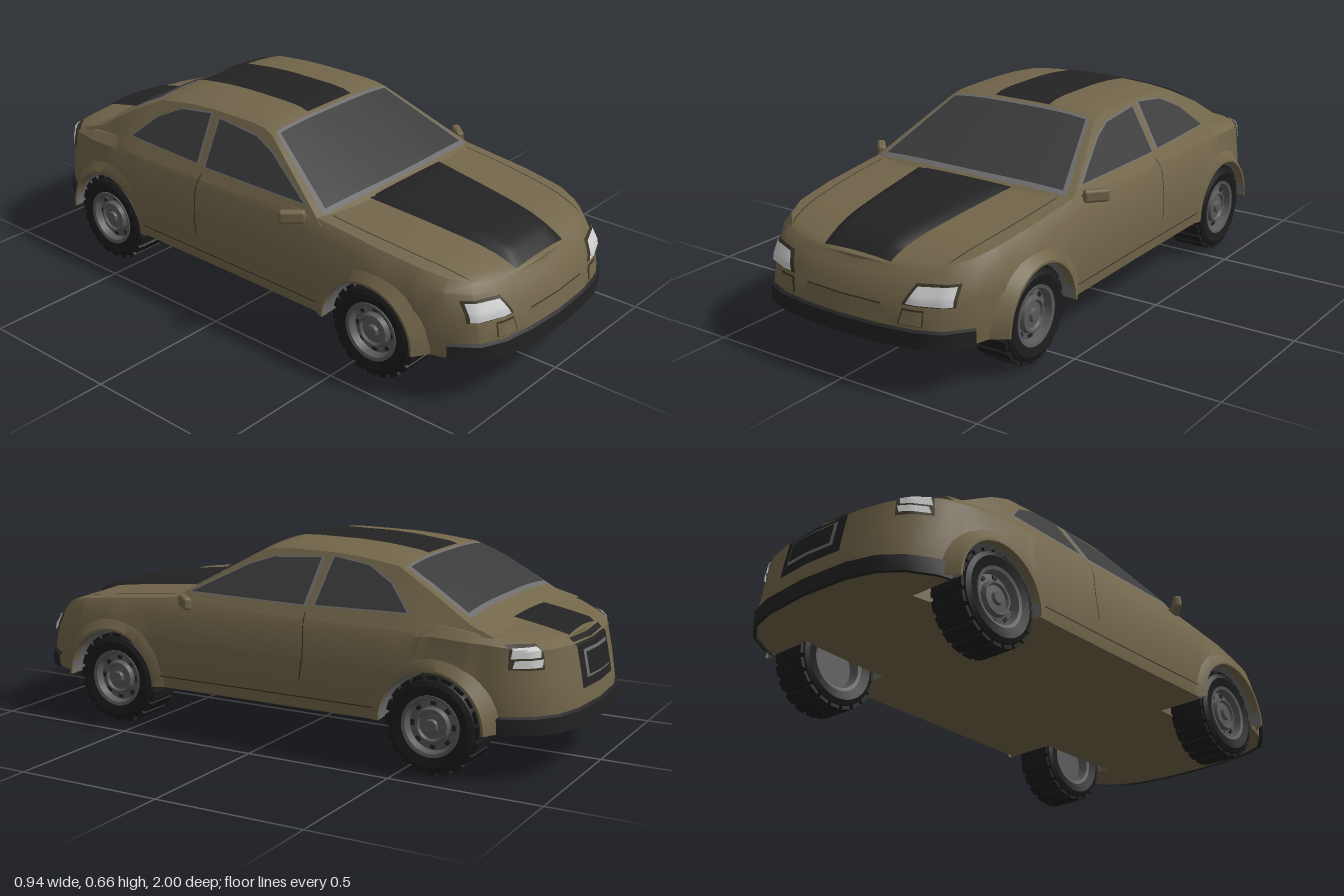
import * as THREE from 'three';
import { toCreasedNormals } from 'three/addons/utils/BufferGeometryUtils.js';
import { RoundedBoxGeometry } from 'three/addons/geometries/RoundedBoxGeometry.js';

const mat = (color) => new THREE.MeshStandardMaterial({ color, side: THREE.DoubleSide });
const PAINT = mat(0x72664a), BLACK = mat(0x232323), GLASS = mat(0x3b3b3b), TRIM = mat(0x6c6c6c),
  LAMP = mat(0xcccccc), RUBBER = mat(0x1c1c1c), RIM = mat(0x5a5a5a), SEAM = mat(0x3a3426);
const { lerp, clamp, smoothstep } = THREE.MathUtils;

// Piecewise linear lookup
function look(table, x) {
  let i = 1;
  while (i < table.length - 1 && x > table[i][0]) i++;
  const [a, b] = [table[i - 1], table[i]];
  return lerp(a[1], b[1], clamp((x - a[0]) / (b[0] - a[0]), 0, 1));
}
// Half width, centre height of hood and deck, and shoulder drop along the car
const WIDTH = [[-.99, 0], [-.978, .17], [-.95, .265], [-.9, .33], [-.82, .38], [-.7, .412], [-.45, .43], [0, .432],
  [.4, .438], [.6, .435], [.75, .42], [.85, .39], [.93, .33], [.965, .25], [.983, .14], [.99, 0]];
const TOP = [[-1, .42], [-.9, .435], [-.75, .455], [-.6, .475], [.3, .475], [.37, .467], [.6, .443], [.8, .418], [.9, .4], [1, .368]];
const DROP = [[-1, .025], [-.75, .032], [-.5, .05], [.8, .05], [1, .03]];
const ROOF = [[-.78, .44], [-.7, .485], [-.55, .575], [-.43, .634], [-.3, .65], [-.2, .656], [-.02, .657], [.03, .653], [.07, .642], [.38, .46]];
const WHEELS = [.59, -.6], AXLE = .16, ARCH = .175;

const archY = (s) => WHEELS.reduce((y, c) => Math.max(y, Math.abs(s - c) < ARCH ? AXLE + Math.sqrt(ARCH ** 2 - (s - c) ** 2) : 0), .155);
const lean = (s, row) => s - Math.sign(s) * (s > 0 ? [0, 0, .02, .05, .065] : [0, 0, .015, .035, .06])[row] * smoothstep(Math.abs(s), .7, 1);

// Side of the body at station s, from sill to hood edge
function sideRows(s) {
  const w = look(WIDTH, s), t = look(TOP, s), yb = archY(s);
  const ys = [yb, Math.max(.21, yb + .006), Math.max(.3, yb + .014), t - look(DROP, s), t - .01];
  return ys.map((y, i) => [w * [.985, 1, .995, .968, .9][i], y, lean(s, i)]);
}
function sideAt(s, y) {
  const r = sideRows(s);
  let i = 1;
  while (i < 4 && y > r[i][1]) i++;
  const k = clamp((y - r[i - 1][1]) / (r[i][1] - r[i - 1][1]), 0, 1);
  return r[i].map((v, j) => lerp(r[i - 1][j], v, k));
}
// Point on the nose (dir 1) or tail (dir -1)
function faceAt(x, y, dir, off) {
  let a = .6, b = .99;
  for (let i = 0; i < 30; i++) {
    const m = (a + b) / 2;
    if (sideAt(dir * m, y)[0] > Math.abs(x)) a = m; else b = m;
  }
  const p = sideAt(dir * a, y);
  return [x * (1 + off * 2), p[1], p[2] + dir * off];
}
// Point on the hood or deck
function topAt(x, s, off) {
  const e = .9 * look(WIDTH, s), f = clamp(x / Math.max(e, 1e-4), -1, 1);
  return [f * e, look(TOP, s) - .01 * f * f + off, lean(s, 4)];
}
// Cabin: leaning sides and crowned roof
const cabinX = (z, y) => (.385 - (y - .475) * .636) * (1 - .1 * smoothstep(-z, .5, .72));
const edgeY = (z) => Math.max(look(ROOF, z) - .018, .442);
function roofAt(f, z, off = 0) {
  const bow = z > 0 ? .03 * z / .37 : 0;
  return [f * cabinX(z, edgeY(z)), lerp(look(ROOF, z), edgeY(z), Math.abs(f) ** 3) + off, z + bow * (1 - f * f)];
}

function mesh(name, geo, material, parent) {
  const m = new THREE.Mesh(geo, material);
  m.name = name;
  parent.add(m);
  return m;
}
// Surface through a list of point rows
function skin(rows) {
  const n = rows[0].length, idx = [];
  for (let i = 0; i < rows.length - 1; i++) for (let j = 0; j < n - 1; j++) {
    const a = i * n + j, b = a + n;
    idx.push(a, a + 1, b, b, a + 1, b + 1);
  }
  const g = new THREE.BufferGeometry();
  g.setAttribute('position', new THREE.Float32BufferAttribute(rows.flat(2), 3));
  g.setIndex(idx);
  return toCreasedNormals(g, .55);
}
const patch = (nu, nv, fn) => skin(Array.from({ length: nu + 1 }, (_, i) =>
  Array.from({ length: nv + 1 }, (_, j) => fn(i / nu, j / nv))));
// Four-cornered panel on nose or tail; corners are [x, y] pairs in order
const facePanel = (c, dir, off) => patch(8, 6, (u, v) => {
  const [x, y] = [0, 1].map((k) => lerp(lerp(c[0][k], c[1][k], u), lerp(c[3][k], c[2][k], u), v));
  return faceAt(x, y, dir, off);
});

function buildBody(car) {
  // Stations crowd around the wheel arches and the rounded ends
  let st = WIDTH.map((p) => p[0]);
  for (let z = -.7; z < .75; z += .07) st.push(z);
  for (const c of WHEELS) {
    for (let i = 0; i <= 16; i++) st.push(c + ARCH * Math.cos(i * Math.PI / 16));
    st.push(c + ARCH + .001, c - ARCH - .001);
  }
  st = [...new Set(st)].sort((a, b) => a - b);
  const rings = st.map((s) => {
    const side = sideRows(s), z = lean(s, 0), xi = Math.min(.26, look(WIDTH, s) * .6);
    const half = [[0, .155, z], [xi, .155, z], [xi, side[0][1], z], ...side,
      ...[.7, .35, 0].map((f) => topAt(f * .9 * look(WIDTH, s), s, 0))];
    return [...half, ...half.slice(0, -1).reverse().map(([x, y, q]) => [-x, y, q])];
  });
  mesh('body', skin(rings), PAINT, car);

  // Wrap-around bumpers
  for (const dir of [1, -1]) {
    const ends = st.filter((s) => s * dir > .77).sort((a, b) => (a - b) * dir);
    const half = (m) => ends.map((s) => [[1, .15], [1.015, .152], [1.015, .203], [.985, .214]].map(([k, y]) =>
      [m * look(WIDTH, s) * k, y, s * (1 + (k - 1) * .68)]));
    mesh(dir > 0 ? 'frontBumper' : 'rearBumper', skin([...half(1), ...half(-1).reverse()]), BLACK, car);
  }
}

function buildCabin(car) {
  const zs = [...ROOF.map((p) => p[0]), -.62, -.49, -.36, -.1, .15, .23, .3].sort((a, b) => a - b);
  mesh('cabin', skin(zs.map((z) => {
    const f = [-1, -.85, -.65, -.35, 0, .35, .65, .85, 1], b = cabinX(z, .44);
    return [[-b, .44, z], ...f.map((k) => roofAt(k, z)), [b, .44, z]];
  })), PAINT, car);

  // Windscreen and rear window, each in a thin frame
  for (const [name, z0, z1] of [['windscreen', .345, .085], ['rearWindow', -.46, -.672]]) {
    const pane = (grow, off) => patch(8, 12, (u, v) =>
      roofAt(lerp(-1, 1, v) * (.9 + grow * 3), lerp(z0 + grow, z1 - grow, u), off));
    mesh(name + 'Frame', pane(.013, .004), TRIM, car);
    mesh(name, pane(0, .008), GLASS, car);
  }
  // Side windows as [z, y] outlines laid on the cabin side
  const outlines = {
    doorWindow: [[.29, .485], [.1, .583], [.02, .61], [-.155, .622], [-.14, .482]],
    quarterWindow: [[-.18, .485], [-.2, .628], [-.33, .612], [-.42, .568], [-.5, .492]],
  };
  for (const [name, pts] of Object.entries(outlines)) for (const side of [1, -1]) {
    const c = pts.reduce((a, p) => [a[0] + p[0] / 5, a[1] + p[1] / 5], [0, 0]);
    for (const [label, grow, off, m] of [['Frame', 1.06, .004, TRIM], ['', 1, .008, GLASS]]) {
      const g = new THREE.ShapeGeometry(new THREE.Shape(pts.map((p) =>
        new THREE.Vector2(lerp(c[0], p[0], grow), lerp(c[1], p[1], grow)))));
      const p = g.attributes.position;
      for (let i = 0; i < p.count; i++) {
        const z = p.getX(i), y = p.getY(i);
        p.setXYZ(i, side * (cabinX(z, y) + off), y, z);
      }
      g.computeVertexNormals();
      mesh(name + label, g, m, car);
    }
  }
}

function buildDetails(car) {
  // Raised hood panel with bevelled rim, then roof, deck and tail stripes
  mesh('hoodScoop', patch(14, 12, (u, v) => {
    const s = lerp(.385, .975, u), rim = Math.min(u * 14, (1 - u) * 14, v * 10, (1 - v) * 10);
    return topAt(lerp(-1, 1, v) * lerp(.185, .128, u), s, .002 + .016 * Math.min(1, rim));
  }), BLACK, car);
  mesh('roofStripe', patch(16, 6, (u, v) => {
    const z = lerp(.06, -.44, u);
    return roofAt(lerp(-.11, .11, v) / cabinX(z, edgeY(z)), z, .005);
  }), BLACK, car);
  mesh('deckStripe', patch(12, 6, (u, v) => topAt(lerp(-.13, .13, v), lerp(-.69, -.981, u), .006)), BLACK, car);
  mesh('tailPanel', facePanel([[-.13, .26], [.13, .26], [.13, .415], [-.13, .415]], -1, .006), BLACK, car);
  mesh('plateFrame', facePanel([[-.1, .29], [.1, .29], [.1, .375], [-.1, .375]], -1, .011), TRIM, car);
  mesh('plate', facePanel([[-.09, .298], [.09, .298], [.09, .367], [-.09, .367]], -1, .015), BLACK, car);
  mesh('grille', facePanel([[-.177, .214], [.177, .214], [.137, .27], [-.137, .27]], 1, .006), PAINT, car);
  mesh('grilleTopSeam', facePanel([[-.139, .268], [.139, .268], [.138, .272], [-.138, .272]], 1, .009), SEAM, car);

  for (const m of [1, -1]) {
    const flip = (c) => c.map(([x, y]) => [m * x, y]);
    // Lamps
    mesh('headlightSurround', facePanel(flip([[.205, .276], [.35, .276], [.352, .342], [.235, .337]]), 1, .004), SEAM, car);
    mesh('headlight', facePanel(flip([[.217, .281], [.344, .281], [.344, .336], [.242, .331]]), 1, .009), LAMP, car);
    mesh('fogLampRecess', facePanel(flip([[.197, .219], [.275, .219], [.273, .266], [.208, .266]]), 1, .004), SEAM, car);
    mesh('fogLampPanel', facePanel(flip([[.202, .222], [.271, .222], [.27, .262], [.212, .262]]), 1, .007), PAINT, car);
    mesh('tailLightSurround', facePanel(flip([[.288, .345], [.366, .35], [.357, .425], [.28, .42]]), -1, .004), SEAM, car);
    for (const [y0, y1] of [[.355, .378], [.384, .415]])
      mesh('tailLight', facePanel(flip([[.296, y0], [.36, y0], [.353, y1], [.289, y1]]), -1, .009), LAMP, car);

    // Door, sill and hood seams
    mesh('doorSeam', patch(8, 1, (u, v) => {
      const p = sideAt(-.15 + .004 * v - .01 * Math.sin(u * 3), lerp(.25, .46, u));
      return [m * (p[0] + .003), p[1], p[2]];
    }), SEAM, car);
    mesh('sillSeam', patch(12, 1, (u, v) => {
      const p = sideAt(lerp(-.41, .4, u), .192 + .004 * v);
      return [m * (p[0] + .003), p[1], p[2]];
    }), SEAM, car);
    mesh('hoodSeam', patch(14, 1, (u, v) =>
      topAt(m * (lerp(.35, .3, u * u) + .004 * v), lerp(.38, .93, u), .003)), SEAM, car);

    // Door mirror
    const mirror = new THREE.Group();
    mirror.name = 'mirror';
    mirror.scale.x = m;
    const shell = mesh('mirrorShell', new RoundedBoxGeometry(.085, .042, .028, 2, .01), PAINT, mirror);
    shell.position.set(.435, .457, .285);
    shell.rotation.y = .85;
    mesh('mirrorArm', new THREE.BoxGeometry(.045, .018, .025), PAINT, mirror).position.set(.405, .45, .3);
    car.add(mirror);

    // Flared arches and their liners
    for (const c of WHEELS) {
      const lip = look(WIDTH, c) + .014;
      mesh('wheelArch', skin(Array.from({ length: 25 }, (_, i) => {
        const a = i * Math.PI / 24, at = (r) => [c + r * Math.cos(a), AXLE - .004 + r * Math.sin(a)];
        const [z2, y2] = at(.215);
        return [[.172, lip - .03], [.172, lip], [.18, lip], [.215, sideAt(z2, y2)[0] - .002]].map(([r, x], k) => {
          const [z, y] = at(r);
          return [m * x, k === 3 ? y2 : y, k === 3 ? z2 : z];
        });
      })), PAINT, car);
      const liner = mesh('archLiner', new THREE.CylinderGeometry(.171, .171, .16, 24, 1, true, Math.PI, Math.PI), TRIM, car);
      liner.rotation.z = -Math.PI / 2;
      liner.position.set(m * (lip - .085), AXLE, c);
    }
  }
}

function buildWheel() {
  const wheel = new THREE.Group();
  wheel.name = 'wheel';
  const lathe = (name, pts, m) => {
    const g = new THREE.LatheGeometry(pts.map((p) => new THREE.Vector2(...p)), 36);
    mesh(name, toCreasedNormals(g, .5), m, wheel).rotation.z = -Math.PI / 2;
  };
  lathe('tire', [[.094, -.066], [.128, -.074], [.143, -.066], [.15, -.048], [.15, .048], [.143, .066], [.128, .074], [.094, .066]], RUBBER);
  lathe('rim', [[0, .066], [.018, .066], [.022, .056], [.042, .054], [.047, .062], [.053, .062], [.058, .046], [.08, .043],
    [.086, .068], [.097, .071], [.097, -.067], [.086, -.064], [.08, -.03], [0, -.03]], RIM);
  // Tread blocks
  for (let i = 0; i < 20; i++) {
    const a = i * Math.PI / 10;
    const lug = mesh('treadBlock', new THREE.BoxGeometry(.122, .014, .034), RUBBER, wheel);
    lug.position.set(0, .149 * Math.cos(a), .149 * Math.sin(a));
    lug.rotation.x = a;
  }
  // Wheel bolts
  for (let i = 0; i < 8; i++) {
    const a = i * Math.PI / 4;
    const slot = mesh('rimSlot', new THREE.BoxGeometry(.004, .012, .018), BLACK, wheel);
    slot.position.set(.046, .069 * Math.cos(a), .069 * Math.sin(a));
    slot.rotation.x = a;
  }
  return wheel;
}

export function createModel() {
  const car = new THREE.Group();
  car.name = 'car';
  buildBody(car);
  buildCabin(car);
  buildDetails(car);
  for (const z of WHEELS) for (const m of [1, -1]) {
    const w = buildWheel();
    w.position.set(m * .35, .157, z);
    if (m < 0) w.rotation.y = Math.PI;
    car.add(w);
  }
  return car;
}
